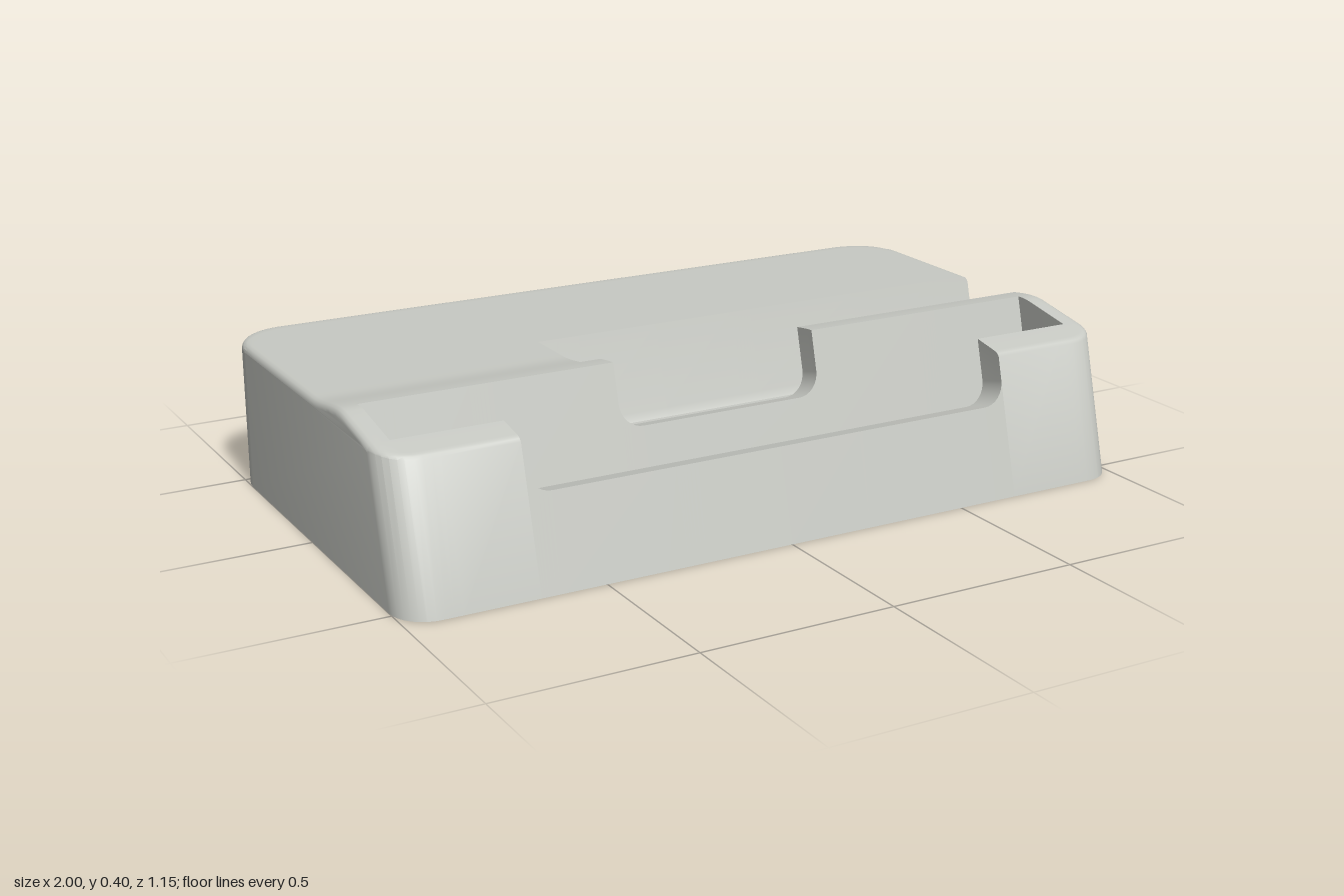
import * as THREE from 'three';
import { toCreasedNormals } from 'three/addons/utils/BufferGeometryUtils.js';

const TILT = 0.268;      // forward lean of the front, slot and trough
const FRONT = 0.575, BACK = -0.575;
const R_FRONT = 0.09, R_BACK = 0.14, FILLET = 0.018;
const SLOT = { half: 0.945, front: 0.492, back: 0.307 };
const TROUGH = { start: -0.34, z: 0.065, y: 0.197, r: 0.1155 };
const LIP = { half: 0.667, floor: 0.23 };
const NOTCH = { half: 0.285, floor: 0.24 };
const CUT_R = 0.06;

// How far a rounded plan corner pulls the front or back edge in
function inset(x, r) {
  const k = Math.max(0, r - (1 - Math.abs(x)));
  return r - Math.sqrt(Math.max(0, r * r - k * k));
}

// Height of the uncut top, including the rounded outer edge
function topY(x, z) {
  const s = THREE.MathUtils.smoothstep(z, 0.04, 0.22);
  const base = z > 0.22 ? 0.4 - Math.max(0, z - 0.23) * 0.18 : 0.38 + 0.02 * s;
  const r = z > 0 ? R_FRONT : R_BACK;
  const hx = 1 - Math.abs(x), hz = z > 0 ? 0.485 - z : z - BACK;
  let d = hx < r && hz < r ? r - Math.hypot(r - hx, r - hz) : Math.min(hx, hz);
  d = Math.max(0, d);
  const k = Math.max(0, FILLET - d);
  return base - (FILLET - Math.sqrt(Math.max(0, FILLET * FILLET - k * k)));
}

// Floor height of a rounded-bottom cutout, Infinity outside it
function cutout(x, { half, floor }) {
  const k = Math.abs(x) - (half - CUT_R);
  if (k > CUT_R) return Infinity;
  return k > 0 ? floor + CUT_R - Math.sqrt(CUT_R * CUT_R - k * k) : floor;
}

// Cross-section at x, as [z, y] points from front bottom over the top to back bottom
function section(x) {
  const front = FRONT - inset(x, R_FRONT), back = BACK + inset(x, R_BACK);
  const pts = [[front, 0]];
  // w is a position measured along the leaning axis: z = w - TILT * y
  const add = (w, limit) => {
    let y = 0.36;
    for (let i = 0; i < 8; i++) y = topY(x, w - TILT * y);
    y = Math.min(y, limit);
    pts.push([w - TILT * y, y]);
  };

  // front lip
  const lip = cutout(x, LIP);
  for (const w of [front, front - 0.004, front - 0.009, front - FILLET, SLOT.front]) {
    add(w, lip - 0.25 * (FRONT - w));
  }
  // device slot
  const inSlot = Math.abs(x) < SLOT.half;
  for (const w of [SLOT.front, 0.45, 0.38, 0.345, 0.325, SLOT.back]) {
    add(w, inSlot ? 0.10 + 0.25 * (w - SLOT.back) : Infinity);
  }
  // wall between slot and trough
  const arc = [];
  for (let i = 0; i <= 20; i++) {
    const a = THREE.MathUtils.degToRad(15 - 9 * i);
    const z = TROUGH.z + TROUGH.r * Math.cos(a), y = TROUGH.y + TROUGH.r * Math.sin(a);
    arc.push([z + TILT * y, y]);
  }
  const notch = cutout(x, NOTCH);
  for (const w of [SLOT.back, 0.285, 0.26, arc[0][0]]) add(w, notch + 0.25 * (w - SLOT.back));
  // cable trough
  for (const [w, y] of arc) add(w, x > TROUGH.start ? y : Infinity);
  add(arc[20][0], Infinity);
  // rear deck and rounded back edge
  for (const d of [0.14, 0.08, 0.04, FILLET, 0.01, 0.004, 0.001, 0]) {
    pts.push([back + d, topY(x, back + d)]);
  }
  pts.push([back, 0]);
  return pts;
}

// Positions along x where sections are taken
function stations() {
  const xs = [0];
  const both = (v) => xs.push(v, -v);
  const step = (v) => xs.push(v - 1e-4, v + 1e-4);
  for (let a = 0; a <= 90; a += 9) both(1 - R_BACK * (1 - Math.cos(THREE.MathUtils.degToRad(a))));
  for (const c of [LIP, NOTCH]) {
    for (let a = 0; a < 90; a += 11.25) {
      both(c.half - CUT_R + CUT_R * Math.sin(THREE.MathUtils.degToRad(a)));
    }
  }
  for (const v of [SLOT.half, LIP.half, NOTCH.half]) { step(v); step(-v); }
  step(TROUGH.start);
  return xs.sort((a, b) => a - b);
}

function bodyGeometry() {
  const xs = stations();
  const rows = xs.map((x) => section(x).map(([z, y]) => new THREE.Vector3(x, y, z)));
  const pos = [];
  const e1 = new THREE.Vector3(), e2 = new THREE.Vector3();
  const tri = (a, b, c) => {
    e1.subVectors(b, a);
    e2.subVectors(c, a);
    if (e1.cross(e2).length() < 1e-10) return;
    for (const p of [a, b, c]) pos.push(p.x, p.y, p.z);
  };

  // skin between neighbouring sections, underside included
  const n = rows[0].length;
  for (let i = 0; i < rows.length - 1; i++) {
    for (let j = 0; j < n; j++) {
      const k = (j + 1) % n;
      const a = rows[i][j], b = rows[i + 1][j], c = rows[i + 1][k], d = rows[i][k];
      tri(a, b, c);
      tri(a, c, d);
    }
  }
  // flat ends
  for (const [row, side] of [[rows[0], -1], [rows[rows.length - 1], 1]]) {
    const ring = row.filter((p, i) => i === 0 || p.distanceTo(row[i - 1]) > 1e-5);
    const flat = ring.map((p) => new THREE.Vector2(-p.z, p.y));
    for (const [a, b, c] of THREE.ShapeUtils.triangulateShape(flat, [])) {
      const ccw = THREE.ShapeUtils.area([flat[a], flat[b], flat[c]]) > 0;
      if (ccw === (side > 0)) tri(ring[a], ring[b], ring[c]);
      else tri(ring[a], ring[c], ring[b]);
    }
  }

  const geo = new THREE.BufferGeometry();
  geo.setAttribute('position', new THREE.Float32BufferAttribute(pos, 3));
  // enlarged while creasing, so that close vertices stay distinct
  geo.scale(100, 100, 100);
  const creased = toCreasedNormals(geo, 0.55);
  creased.scale(0.01, 0.01, 0.01);
  return creased;
}

export function createModel() {
  const group = new THREE.Group();
  group.name = 'chargingDock';
  const grey = new THREE.MeshStandardMaterial({ color: 0xc8cac4 });
  grey.name = 'light grey';
  const body = new THREE.Mesh(bodyGeometry(), grey);
  body.name = 'dockBody';
  group.add(body);
  return group;
}
